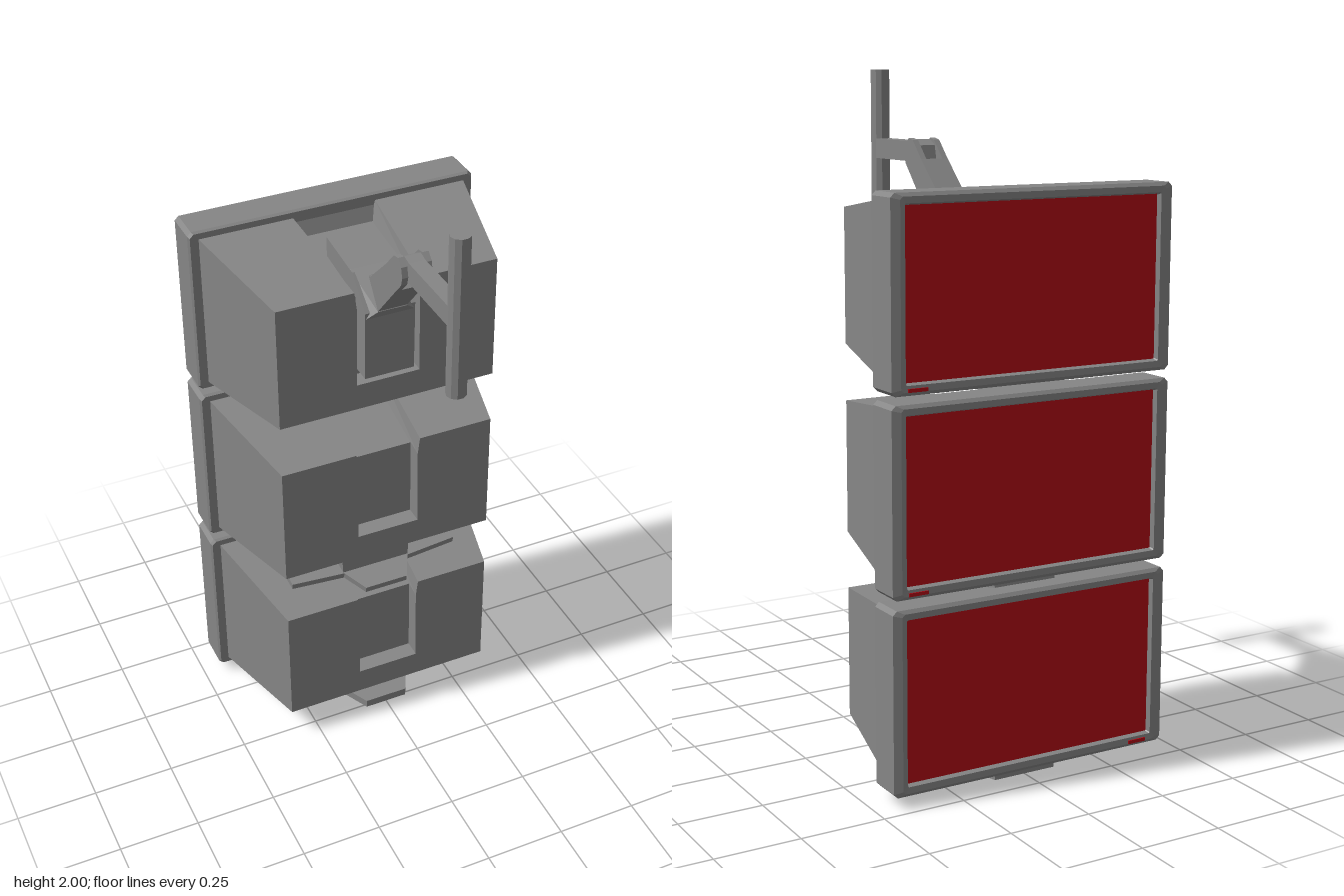
import * as THREE from 'three';

const grey = new THREE.MeshStandardMaterial({ color: 0x868686, flatShading: true });
const red = new THREE.MeshStandardMaterial({ color: 0xb40a16, flatShading: true });

function part(name, geometry, parent, material = grey) {
  const mesh = new THREE.Mesh(geometry, material);
  mesh.name = name;
  parent.add(mesh);
  return mesh;
}

// Skin a row of equal-length convex loops, each counter-clockwise seen from the travel direction
function loft(loops) {
  const n = loops[0].length, index = [];
  for (let s = 0; s < loops.length - 1; s++)
    for (let i = 0; i < n; i++) {
      const a = s * n + i, b = s * n + (i + 1) % n;
      index.push(a, b, b + n, a, b + n, a + n);
    }
  const last = (loops.length - 1) * n;
  for (let i = 1; i < n - 1; i++) index.push(0, i + 1, i, last, last + i, last + i + 1);
  const geo = new THREE.BufferGeometry();
  geo.setAttribute('position', new THREE.Float32BufferAttribute(loops.flat(2), 3));
  geo.setIndex(index);
  const flat = geo.toNonIndexed();
  flat.computeVertexNormals();
  return flat;
}

// Rectangle loops facing +z and +y
const rectZ = (x0, x1, y0, y1, z) => [[x0, y0, z], [x1, y0, z], [x1, y1, z], [x0, y1, z]];
const rectY = (w, z0, z1, y) => [[-w, y, z1], [w, y, z1], [w, y, z0], [-w, y, z0]];

// Rectangle loop with clipped corners
function clipped(w, h, c, z) {
  return [[-w + c, -h, z], [w - c, -h, z], [w, -h + c, z], [w, h - c, z],
    [w - c, h, z], [-w + c, h, z], [-w, h - c, z], [-w, -h + c, z]];
}

// Side profile of [z, y] points, extruded from x0 to x1
function sideExtrude(points, x0, x1) {
  const shape = new THREE.Shape(points.map(p => new THREE.Vector2(...p)));
  const geo = new THREE.ExtrudeGeometry(shape, { depth: x1 - x0, bevelEnabled: false });
  return geo.rotateY(-Math.PI / 2).translate(x1, 0, 0);
}

function createMonitor(lightX) {
  const g = new THREE.Group();
  // Bezel with a sunken opening
  part('bezel', loft([
    clipped(0.405, 0.235, 0.003, -0.452), clipped(0.41, 0.24, 0.003, -0.468),
    clipped(0.425, 0.258, 0.008, -0.47), clipped(0.45, 0.268, 0.012, -0.462),
    clipped(0.45, 0.268, 0.012, -0.358), clipped(0.445, 0.263, 0.012, -0.35),
  ]), g);
  const screen = part('screen', new THREE.PlaneGeometry(0.81, 0.47), g, red);
  screen.rotation.y = Math.PI;
  screen.position.z = -0.454;
  const light = part('powerLight', new THREE.BoxGeometry(0.06, 0.01, 0.01), g, red);
  light.position.set(lightX, -0.253, -0.468);

  // Tapered housing: two side blocks around a channel
  part('housingLeft', loft([
    [[0.1, -0.245, -0.355], [0.42, -0.245, -0.355], [0.42, 0.245, -0.355], [0.13, 0.245, -0.355], [0.115, 0.18, -0.355]],
    [[0.1, -0.198, 0.025], [0.34, -0.198, 0.025], [0.34, 0.195, 0.025], [0.104, 0.195, 0.025], [0.097, 0.14, 0.025]],
  ]), g);
  part('housingRight', loft([
    [[-0.42, -0.245, -0.355], [-0.1, -0.245, -0.355], [-0.115, 0.18, -0.355], [-0.13, 0.245, -0.355], [-0.42, 0.245, -0.355]],
    [[-0.34, -0.198, 0.025], [-0.1, -0.198, 0.025], [-0.097, 0.14, 0.025], [-0.104, 0.195, 0.025], [-0.34, 0.195, 0.025]],
  ]), g);
  // Channel floor, and the full-depth sill below it
  part('channelFloor', loft([
    rectZ(-0.13, 0.13, -0.15, 0.245, -0.355),
    rectZ(-0.12, 0.12, -0.15, 0.185, -0.335),
    rectZ(-0.1, 0.1, -0.15, 0.145, -0.03),
  ]), g);
  part('channelSill', loft([
    rectZ(-0.1, 0.1, -0.245, -0.115, -0.355),
    rectZ(-0.1, 0.1, -0.198, -0.115, 0.025),
  ]), g);
  // Shallow mounting pad underneath
  part('mountPad', loft([
    rectZ(-0.115, 0.115, -0.243, -0.2, -0.27),
    rectZ(-0.115, 0.115, -0.218, -0.17, -0.07),
  ]), g);
  return g;
}

// Four-pronged foot plate
function createFoot(thickness) {
  const half = [[0.07, 0.01], [0.11, -0.07], [0.28, -0.085], [0.285, -0.23], [0.135, -0.29], [0.1, -0.42]];
  const outline = [...half, ...half.map(([x, z]) => [-x, z]).reverse()];
  const shape = new THREE.Shape(outline.map(([x, z]) => new THREE.Vector2(x, -z)));
  return new THREE.ExtrudeGeometry(shape, { depth: thickness, bevelEnabled: false }).rotateX(-Math.PI / 2);
}

function createStand(name, y, tilt, neckTop) {
  const g = new THREE.Group();
  g.name = name;
  const foot = part('foot', createFoot(tilt ? 0.02 : 0.026), g);
  foot.rotation.x = tilt;
  foot.position.y = y;
  part('neck', loft([
    rectY(0.08, -0.25, -0.09, y + 0.008),
    rectY(0.112, -0.27, -0.07, y + 0.032),
    rectY(0.118, -0.27, -0.07, neckTop),
  ]), g);
  return g;
}

function createArm() {
  const g = new THREE.Group();
  g.name = 'wallArm';
  // Bracket hooked over the channel
  part('bracket', sideExtrude([
    [-0.23, 1.58], [-0.03, 1.56], [-0.04, 1.33], [0.033, 1.33], [0.037, 1.55], [-0.05, 1.637], [-0.23, 1.657],
  ], -0.077, 0.077), g);
  part('armFlare', loft([
    [[-0.077, 1.53, 0.036], [0.077, 1.53, 0.036], [0.077, 1.64, -0.065], [-0.077, 1.64, -0.065]],
    [[-0.045, 1.558, 0.053], [0.045, 1.558, 0.053], [0.045, 1.642, -0.01], [-0.045, 1.642, -0.01]],
  ]), g);
  // Sloping lower arm ending in a fork
  part('lowerArm', sideExtrude([[-0.05, 1.635], [0.03, 1.535], [0.168, 1.69], [0.105, 1.742], [0, 1.643]], -0.045, 0.045), g);
  for (const [x0, x1] of [[-0.045, -0.027], [0.027, 0.045]]) {
    part('forkProng', sideExtrude([
      [0.105, 1.742], [0.168, 1.69], [0.2, 1.725], [0.207, 1.75], [0.2, 1.78], [0.18, 1.8], [0.155, 1.795],
    ], x0, x1), g);
  }
  part('forearm', sideExtrude([
    [0.135, 1.735], [0.165, 1.725], [0.2, 1.73], [0.435, 1.73], [0.435, 1.79], [0.205, 1.79], [0.175, 1.797], [0.145, 1.78],
  ], -0.024, 0.024), g);
  const pole = part('pole', new THREE.CylinderGeometry(0.029, 0.029, 0.48, 10), g);
  pole.rotation.y = Math.PI / 10;
  pole.position.set(0, 1.76, 0.447);
  return g;
}

export function createModel() {
  const model = new THREE.Group();
  model.name = 'monitorStack';
  const monitors = [['lowerMonitor', 0.3, -0.36], ['middleMonitor', 0.864, 0.375], ['upperMonitor', 1.424, 0.375]];
  for (const [name, y, lightX] of monitors) {
    const monitor = createMonitor(lightX);
    monitor.name = name;
    monitor.position.y = y;
    model.add(monitor);
  }
  model.add(createStand('lowerStand', 0, 0, 0.11));
  model.add(createStand('middleStand', 0.505, 0.16, 0.67));
  model.add(createArm());
  return model;
}
